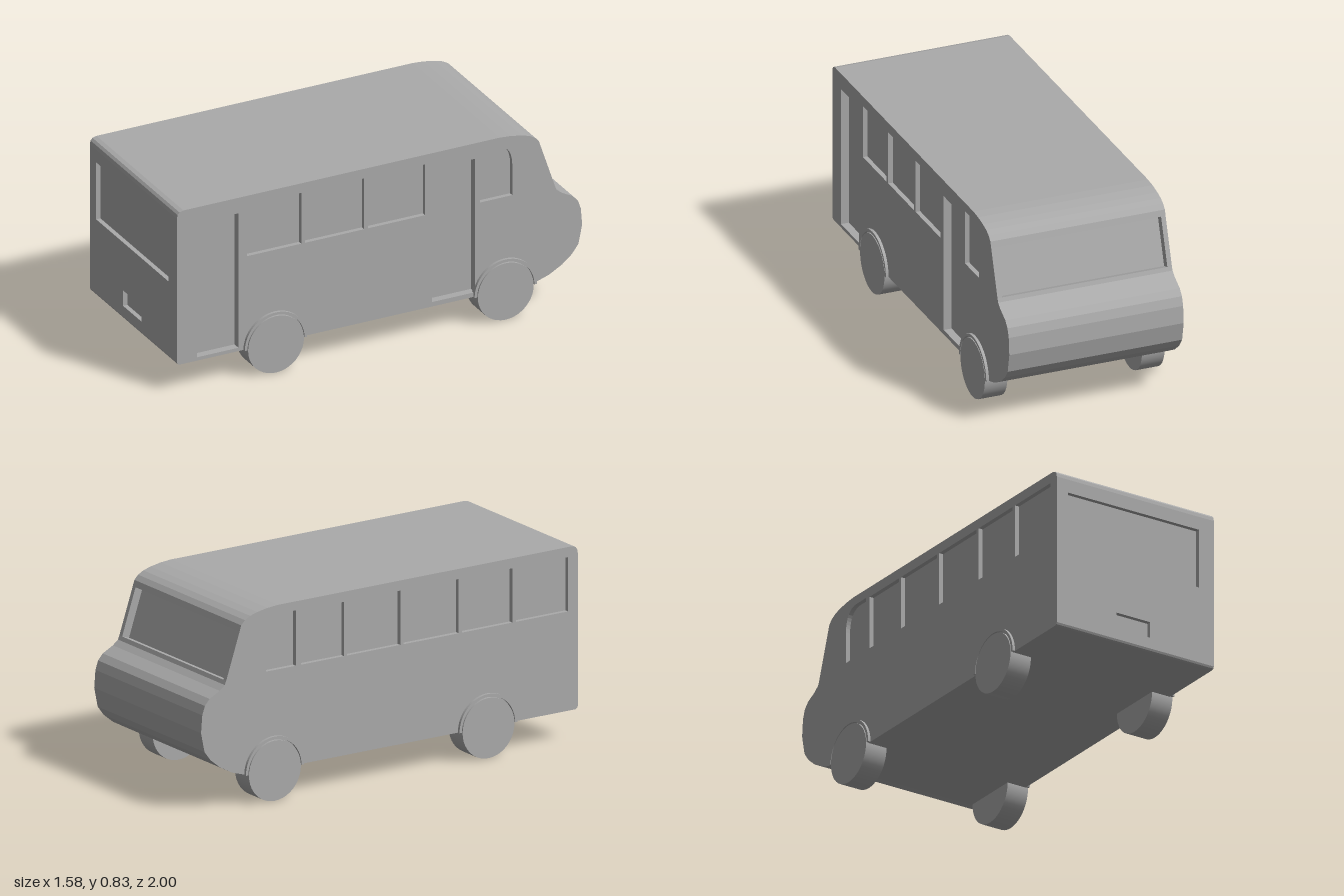
import * as THREE from 'three';

// Local frame: x = towards the nose, y = up, z = towards the door side
const HALF = 0.385;      // half body width
const WINDOW_Z = 0.365;  // depth of the glass
const DOOR_Z = 0.35;     // depth of the doors
const WHEEL_Y = 0.128;

// Side outlines of the bus, rear bottom corner first, counterclockwise
const belly = [[-0.918, 0.13], [0.706, 0.13], [0.775, 0.152], [0.835, 0.185], [0.88, 0.222], [0.91, 0.262],
  [0.927, 0.345], [0.921, 0.42], [0.908, 0.458], [0.885, 0.484], [0.835, 0.51], [0.81, 0.53], [0.803, 0.547]];
const roof = [[0.737, 0.745], [0.729, 0.77], [0.711, 0.789], [0.685, 0.803], [0.65, 0.813], [0.6, 0.822],
  [0.55, 0.826], [-0.9, 0.826], [-0.918, 0.821], [-0.927, 0.811], [-0.93, 0.795]];
const rearEdge = [[-0.93, 0.142], [-0.926, 0.134]];
const windscreenNotch = [[0.769, 0.536], [0.703, 0.734]];
const rearNotch = [[-0.93, 0.77], [-0.91, 0.77], [-0.91, 0.15], [-0.93, 0.15]];

const toShape = (pts) => new THREE.Shape(pts.map(([x, y]) => new THREE.Vector2(x, y)));

function rectHole(x0, x1, y0, y1) {
  const p = new THREE.Path();
  p.moveTo(x0, y0);
  p.lineTo(x0, y1);
  p.lineTo(x1, y1);
  p.lineTo(x1, y0);
  p.closePath();
  return p;
}

// Driver window with a rounded upper front corner
function driverHole() {
  const p = new THREE.Path();
  p.moveTo(0.46, 0.552);
  p.lineTo(0.46, 0.788);
  p.lineTo(0.53, 0.788);
  p.bezierCurveTo(0.58, 0.788, 0.607, 0.75, 0.607, 0.69);
  p.lineTo(0.607, 0.552);
  p.closePath();
  return p;
}

export function createModel() {
  const model = new THREE.Group();
  model.name = 'bus';
  const bus = new THREE.Group();
  bus.name = 'busBody';
  bus.rotation.y = THREE.MathUtils.degToRad(60.6);
  model.add(bus);

  const grey = new THREE.MeshStandardMaterial({ color: 0xaaaaaa });
  grey.name = 'plain grey';

  const add = (name, geometry) => {
    const mesh = new THREE.Mesh(geometry, grey);
    mesh.name = name;
    bus.add(mesh);
    return mesh;
  };
  const slab = (name, outline, holes, z0, z1) => {
    const shape = toShape(outline);
    shape.holes.push(...holes);
    const g = new THREE.ExtrudeGeometry(shape, { depth: z1 - z0, bevelEnabled: false, curveSegments: 10 });
    g.translate(0, 0, z0);
    return add(name, g);
  };

  const full = [...belly, ...roof, ...rearEdge];
  const notched = [...belly, ...windscreenNotch, ...roof, ...rearNotch, ...rearEdge];

  // Openings along each side
  const doors = () => [rectHole(-0.839, -0.648, 0.145, 0.756), rectHole(0.239, 0.435, 0.15, 0.756)];
  const windows = (spans) => spans.map(([a, b]) => rectHole(a, b, 0.552, 0.783));
  const shared = [[-0.608, -0.36], [-0.343, -0.072], [-0.055, 0.207]];
  const leftOnly = [[-0.882, -0.625], [0.222, 0.435]];

  // Core carries the glass planes; the skins around it form the recesses
  slab('core', notched, [], -WINDOW_Z, DOOR_Z);
  slab('doorLayer', notched, doors(), DOOR_Z, WINDOW_Z);
  slab('doorSide', full, [...doors(), ...windows(shared), driverHole()], WINDOW_Z, HALF);
  slab('driverSide', full, [...windows([...shared, ...leftOnly]), driverHole()], -HALF, -WINDOW_Z);

  // Rear panel with window and number plate recesses
  const rear = toShape([[-WINDOW_Z, 0.15], [WINDOW_Z, 0.15], [WINDOW_Z, 0.77], [-WINDOW_Z, 0.77]]);
  rear.holes.push(rectHole(-0.33, 0.312, 0.478, 0.737), rectHole(-0.092, 0.073, 0.19, 0.26));
  const rearGeometry = new THREE.ExtrudeGeometry(rear, { depth: 0.02, bevelEnabled: false });
  rearGeometry.rotateY(-Math.PI / 2);
  rearGeometry.translate(-0.91, 0, 0);
  add('rearPanel', rearGeometry);

  // Wheels and arch lips
  const lip = new THREE.Shape();
  lip.absarc(0, 0, 0.143, 0, Math.PI, false);
  lip.absarc(0, 0, 0.131, Math.PI, 0, true);
  lip.closePath();
  for (const x of [-0.482, 0.571]) {
    for (const side of [1, -1]) {
      const wheel = add('wheel', new THREE.CylinderGeometry(0.128, 0.128, 0.1, 40));
      wheel.rotation.x = Math.PI / 2;
      wheel.position.set(x, WHEEL_Y, side * 0.347);
      const arch = add('wheelArch', new THREE.ExtrudeGeometry(lip, { depth: 0.025, bevelEnabled: false, curveSegments: 24 }));
      arch.position.set(x, WHEEL_Y + 0.002, side > 0 ? 0.372 : -0.397);
    }
  }
  return model;
}
